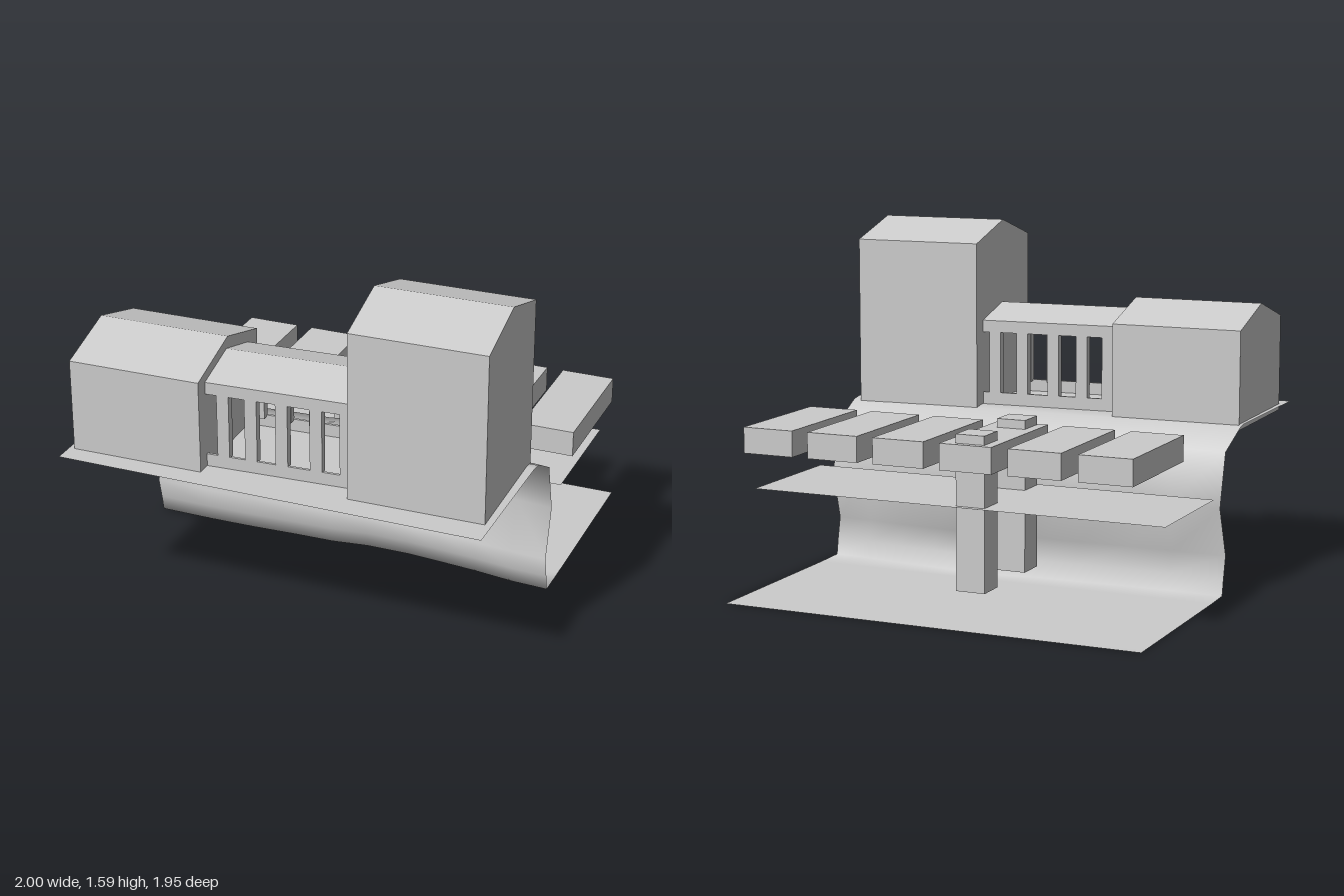
import * as THREE from 'three';

const grey = new THREE.MeshStandardMaterial({ color: 0xcccccc });
const sheet = new THREE.MeshStandardMaterial({ color: 0xcccccc, side: THREE.DoubleSide });

function add(parent, name, geometry, x = 0, y = 0, z = 0, material = grey) {
  const mesh = new THREE.Mesh(geometry, material);
  mesh.name = name;
  mesh.position.set(x, y, z);
  parent.add(mesh);
  return mesh;
}

// Prism with a gabled end, ridge along x, standing on y = 0
function gable(length, depth, eave, ridge) {
  const s = new THREE.Shape();
  s.moveTo(-depth / 2, 0);
  s.lineTo(depth / 2, 0);
  s.lineTo(depth / 2, eave);
  s.lineTo(0, ridge);
  s.lineTo(-depth / 2, eave);
  return new THREE.ExtrudeGeometry(s, { depth: length, bevelEnabled: false })
    .translate(0, 0, -length / 2).rotateY(Math.PI / 2);
}

// Overhanging cliff between the low ground and the high ground
function cliffGeometry() {
  // [z, y, how strongly the bulge moves this row]
  const rows = [
    [-0.975, 0, 0], [-0.12, 0.002, 0], [0.045, 0.005, 0.55], [0.058, 0.08, 0.5],
    [0.08, 0.18, 0.45], [0.018, 0.41, 1], [0.08, 0.645, 0.95],
    [0.24, 0.73, 0], [0.29, 0.738, 0], [0.975, 0.738, 0],
  ];
  // [x, bulge towards the back]
  const columns = [
    [-1, 0.043], [-0.75, 0.037], [-0.54, 0.043], [-0.3, 0.063], [-0.12, 0.071],
    [0.05, 0.113], [0.25, 0.115], [0.42, 0.09], [0.6, 0.06], [0.78, 0.015], [0.95, 0],
  ];
  const geo = new THREE.PlaneGeometry(1, 1, columns.length - 1, rows.length - 1);
  rows.forEach(([z, y, k], r) => columns.forEach(([x, b], c) => {
    const lift = r === 6 ? b * 0.15 : 0;
    geo.attributes.position.setXYZ(r * columns.length + c, x, y + lift, z - b * k);
  }));
  geo.computeVertexNormals();
  return geo;
}

export function createModel() {
  const model = new THREE.Group();
  model.name = 'cliffsideBuildings';

  add(model, 'cliff', cliffGeometry(), 0, 0, 0, sheet);
  add(model, 'water', new THREE.PlaneGeometry(1.95, 0.605).rotateX(-Math.PI / 2),
    -0.025, 0.465, -0.408, sheet);

  // Two gabled houses
  add(model, 'lowHouse', gable(0.61, 0.615, 0.45, 0.54), -0.675, 0.71, 0.567).rotation.y = 0.016;
  add(model, 'tallHouse', gable(0.61, 0.615, 0.79, 0.88), 0.61, 0.71, 0.542).rotation.y = 0.016;

  // Covered gallery joining the houses
  const gallery = new THREE.Group();
  gallery.name = 'gallery';
  gallery.position.set(-0.04, 0, 0.558);
  gallery.rotation.y = 0.057;
  model.add(gallery);
  add(gallery, 'galleryRoof', gable(0.775, 0.45, 0.055, 0.118), 0, 1.08, 0);
  for (const side of [1, -1]) {
    add(gallery, 'galleryRail', new THREE.BoxGeometry(0.775, 0.15, 0.012), 0, 0.72, side * 0.219);
    for (const x of [-0.262, -0.135, 0.005, 0.16, 0.295])
      add(gallery, 'galleryPost', new THREE.BoxGeometry(0.055, 0.3, 0.04), x, 0.937, side * 0.205);
  }

  // Jetty of wide planks
  for (let i = 0; i < 6; i++)
    add(model, 'plank', new THREE.BoxGeometry(0.245, 0.118, 0.61), -0.733 + i * 0.322, 0.681, -0.407);

  // Pillars rising through the jetty
  for (const z of [-0.188, -0.614])
    add(model, 'pillar', new THREE.BoxGeometry(0.135, 0.69, 0.135), -0.098, 0.435, z);

  return model;
}
